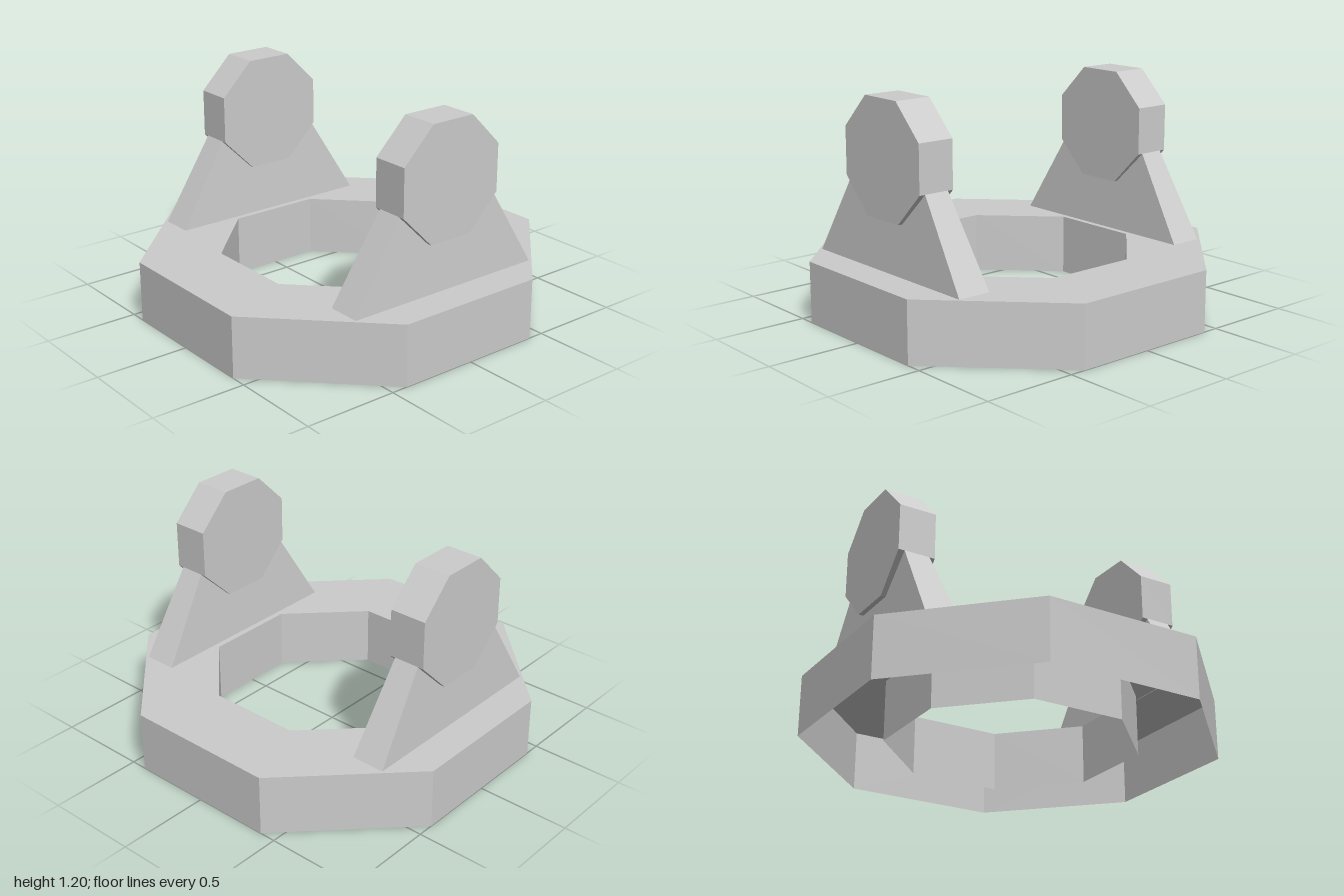
import * as THREE from 'three';

const grey = new THREE.MeshStandardMaterial({ color: 0xcccccc, flatShading: true });
const greyShell = new THREE.MeshStandardMaterial({ color: 0xcccccc, flatShading: true, side: THREE.DoubleSide });

const BASE_TOP = 0.325;
// Circumradius of an octagon from the distance to its flat sides
const octRadius = (apothem) => apothem / Math.cos(Math.PI / 8);

function addMesh(parent, name, geometry, material = grey) {
  const mesh = new THREE.Mesh(geometry, material);
  mesh.name = name;
  parent.add(mesh);
  return mesh;
}

// Bracket tapering in both width and depth, from its foot up into the disc
function bracketGeometry() {
  const bottom = { y: BASE_TOP - 0.003, x: 0.578, z: 0.0905, shift: 0 };
  const top = { y: 0.9, x: 0.225, z: 0.062, shift: 0.006 };
  const geometry = new THREE.BoxGeometry(2, 2, 2);
  const p = geometry.attributes.position;
  for (let i = 0; i < p.count; i++) {
    const end = p.getY(i) > 0 ? top : bottom;
    p.setXYZ(i, p.getX(i) * end.x, end.y, p.getZ(i) * end.z + 0.728 + end.shift);
  }
  geometry.computeVertexNormals();
  return geometry;
}

// One upright: tapered bracket carrying an octagonal disc
function createUpright(name) {
  const upright = new THREE.Group();
  upright.name = name;
  addMesh(upright, 'bracket', bracketGeometry());
  const r = octRadius(0.303);
  const disc = new THREE.CylinderGeometry(r, r, 0.2, 8, 1, false, Math.PI / 8);
  disc.rotateX(Math.PI / 2);
  addMesh(upright, 'disc', disc).position.set(0, 0.897, 0.734);
  return upright;
}

export function createModel() {
  const model = new THREE.Group();
  model.name = 'octagonalStand';

  // Hollow octagonal ring: outer wall, top and inner wall, open underneath
  const outer = octRadius(1);
  const inner = octRadius(0.606);
  const profile = [[outer, 0], [outer, BASE_TOP], [inner, BASE_TOP], [inner, 0]]
    .map(([x, y]) => new THREE.Vector2(x, y));
  addMesh(model, 'baseRing', new THREE.LatheGeometry(profile, 8, Math.PI / 8), greyShell);

  // Matching uprights at front and back
  const front = createUpright('frontUpright');
  const back = createUpright('backUpright');
  back.rotation.y = Math.PI;
  model.add(front, back);

  return model;
}
